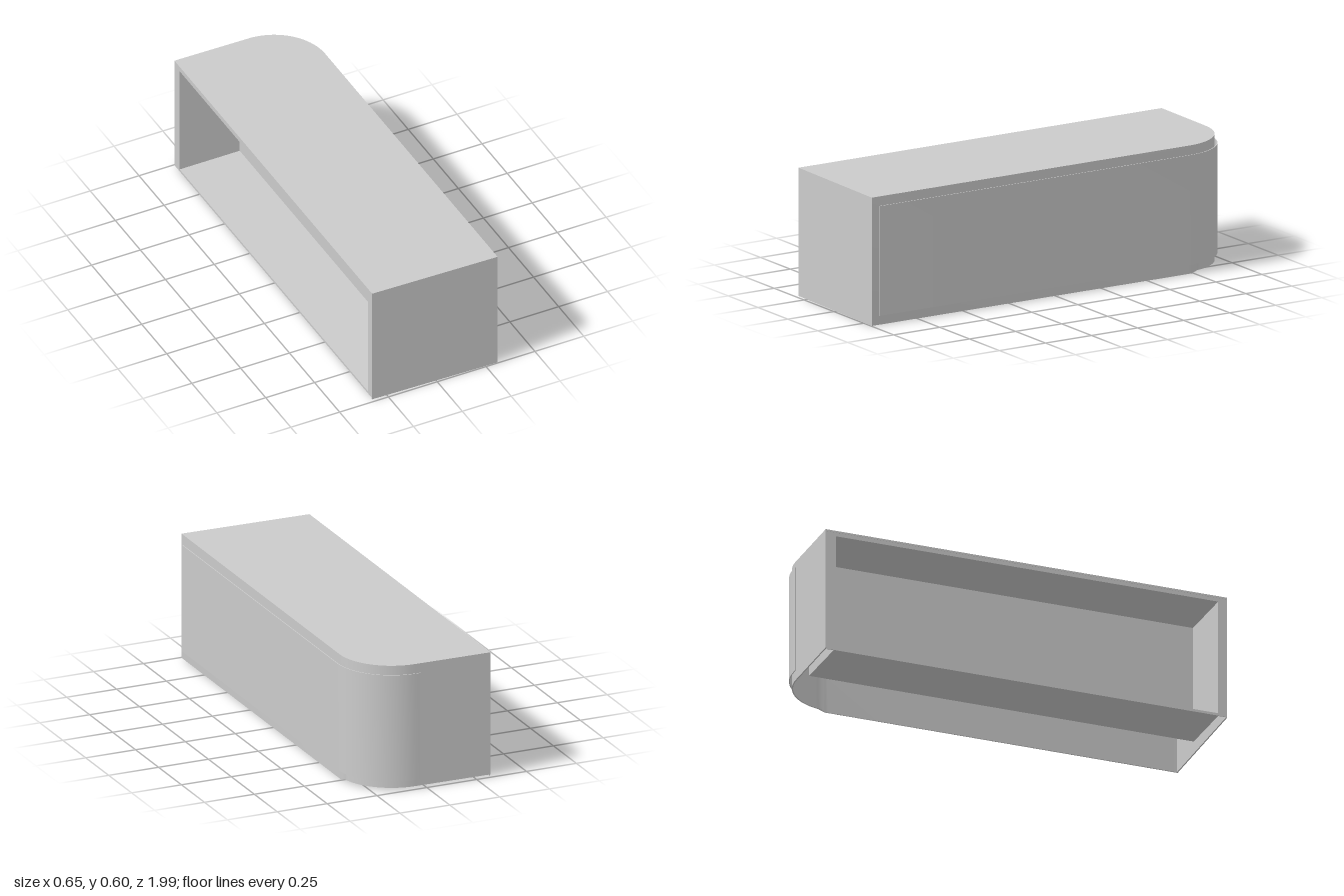
import * as THREE from 'three';
import { toCreasedNormals } from 'three/addons/utils/BufferGeometryUtils.js';

const material = new THREE.MeshStandardMaterial({ color: 0xcccccc, side: THREE.DoubleSide });

function addMesh(group, name, geometry) {
  const mesh = new THREE.Mesh(geometry, material);
  mesh.name = name;
  group.add(mesh);
  return mesh;
}

// Plan points (x, -z) of a rounded back corner
function cornerArc(cx, cy, r, steps = 24) {
  return Array.from({ length: steps + 1 }, (_, i) => {
    const a = (Math.PI / 2) * (1 - i / steps);
    return new THREE.Vector2(cx + r * Math.cos(a), cy + r * Math.sin(a));
  });
}

// Mitred offset to the inner side of a clockwise open path
function offsetPath(points, t) {
  const normal = (a, b) => {
    const d = b.clone().sub(a).normalize();
    return new THREE.Vector2(d.y, -d.x);
  };
  return points.map((p, i) => {
    const n1 = normal(points[Math.max(i - 1, 0)], points[Math.max(i, 1)]);
    const last = points.length - 1;
    const n2 = normal(points[Math.min(i, last - 1)], points[Math.min(i + 1, last)]);
    const n = n1.clone().add(n2).normalize();
    return p.clone().addScaledVector(n, t / n.dot(n1));
  });
}

// Upright extrusion of a plan outline between two heights
function extrudePlan(points, y0, y1) {
  const geometry = new THREE.ExtrudeGeometry(new THREE.Shape(points), { depth: y1 - y0, bevelEnabled: false });
  geometry.rotateX(-Math.PI / 2).translate(0, y0, 0);
  return geometry;
}

const sheet = (path, t, y0, y1) =>
  extrudePlan([...path, ...offsetPath(path, t).reverse()], y0, y1);

export function createModel() {
  const model = new THREE.Group();
  model.name = 'cabinet';
  const v = (x, y) => new THREE.Vector2(x, y);

  // Outer shell: one thin wall round the back, right side and front
  const outline = [v(-0.324, 0.99), ...cornerArc(0.05, 0.724, 0.261), v(0.311, -0.996), v(-0.324, -0.982)];
  const wall = sheet(outline, 0.006, 0, 0.598);
  const pos = wall.attributes.position;
  for (let i = 0; i < pos.count; i++) {
    // the lower edge steps up slightly round the back
    if (pos.getY(i) < 0.001 && pos.getZ(i) < -0.75) pos.setY(i, 0.01);
  }
  addMesh(model, 'outerWall', toCreasedNormals(wall, 0.5));
  addMesh(model, 'topPanel', toCreasedNormals(extrudePlan(outline, 0.595, 0.604), 0.5));

  // Thin curved facing panel standing just off the wall
  const facing = [v(0.03, 0.998), ...cornerArc(0.05, 0.724, 0.274), v(0.324, -0.96)];
  addMesh(model, 'facingPanel', toCreasedNormals(sheet(facing, 0.004, 0.045, 0.562), 0.5));

  // Inner compartment, open on the -x side
  const liner = new THREE.Group();
  liner.name = 'compartment';
  model.add(liner);
  const x0 = -0.32, x1 = -0.01, y0 = 0.01, y1 = 0.583, zEnd = 0.945, t = 0.006;
  const slab = (name, w, h, d, x, y, z) =>
    addMesh(liner, name, new THREE.BoxGeometry(w, h, d)).position.set(x, y, z);
  const xm = (x0 + x1) / 2, ym = (y0 + y1) / 2;
  slab('compartmentFloor', x1 - x0, t, 2 * zEnd, xm, y0 + t / 2, 0);
  slab('compartmentCeiling', x1 - x0, t, 2 * zEnd, xm, y1 - t / 2, 0);
  slab('partition', t, y1 - y0, 2 * zEnd, x1 - t / 2, ym, 0);
  for (const s of [-1, 1]) slab('compartmentEnd', x1 - x0, y1 - y0, t, xm, ym, s * (zEnd - t / 2));

  // Narrow rim joining the compartment to the shell
  const rim = new THREE.Shape([v(-0.985, 0.004), v(0.98, 0.004), v(0.98, 0.598), v(-0.985, 0.598)]);
  const e = zEnd - t;
  rim.holes.push(new THREE.Path([v(-e, y0 + t), v(-e, y1 - t), v(e, y1 - t), v(e, y0 + t)]));
  const rimGeometry = new THREE.ExtrudeGeometry(rim, { depth: 0.004, bevelEnabled: false });
  rimGeometry.rotateY(-Math.PI / 2).translate(-0.319, 0, 0);
  addMesh(model, 'openingRim', rimGeometry);

  return model;
}
